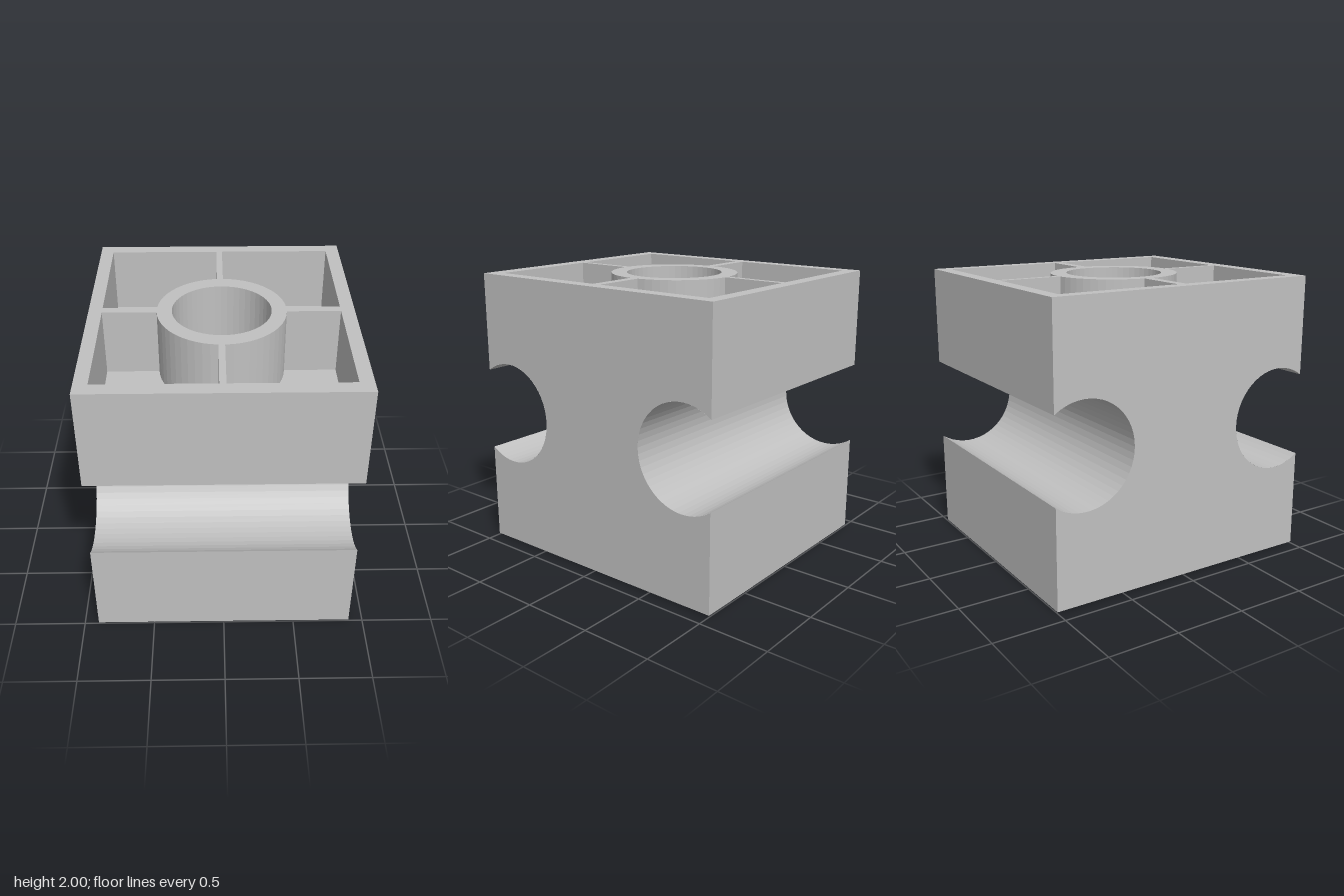
import * as THREE from 'three';

const W = 0.9, D = 1, BOTTOM = 0.01, TOP = 2;      // half width, half depth, heights
const POCKET = 0.47;                               // pocket depth
const BORE = 0.338;                                // central bore radius
const GROOVE = { y: 1.005, z: 0.785, r: 0.365 };
const ARC = 36;

export function createModel() {
  const group = new THREE.Group();
  const grey = new THREE.MeshStandardMaterial({ color: 0xc0c0c0, flatShading: true, side: THREE.DoubleSide });
  grey.name = 'grey';

  const add = (name, geometry) => {
    const mesh = new THREE.Mesh(geometry, grey);
    mesh.name = name;
    group.add(mesh);
    return mesh;
  };

  // Horizontal plate from [x, z] loops, facing up (dir 1) or down (dir -1)
  const plate = (name, loop, holes, y, dir) => {
    const toPoints = (l) => l.map(([x, z]) => new THREE.Vector2(x, -dir * z));
    const shape = new THREE.Shape(toPoints(loop));
    shape.holes = holes.map((h) => new THREE.Path(toPoints(h)));
    add(name, new THREE.ShapeGeometry(shape).rotateX(-dir * Math.PI / 2).translate(0, y, 0));
  };

  // Vertical wall around an [x, z] loop, facing the inside of the loop
  const wall = (name, loop, y0, y1) => {
    const pts = loop.map(([x, z]) => new THREE.Vector2(x, -z));
    if (THREE.ShapeUtils.isClockWise(pts)) pts.reverse();
    const pos = [];
    pts.forEach((a, i) => {
      const b = pts[(i + 1) % pts.length];
      pos.push(b.x, y0, -b.y, a.x, y0, -a.y, a.x, y1, -a.y);
      pos.push(b.x, y0, -b.y, a.x, y1, -a.y, b.x, y1, -b.y);
    });
    const g = new THREE.BufferGeometry();
    g.setAttribute('position', new THREE.Float32BufferAttribute(pos, 3));
    g.computeVertexNormals();
    add(name, g);
  };

  // Quarter pocket: rectangle with the tube's curve cut from its inner corner
  const pocketLoop = (xi, xo, zi, zo) => {
    const rx = 0.44, rz = 0.455, n = 12;
    const t0 = Math.asin(Math.abs(zi) / rz), t1 = Math.acos(Math.abs(xi) / rx);
    const loop = [[xo, zi], [xo, zo], [xi, zo]];
    for (let i = 0; i <= n; i++) {
      const t = t1 + (t0 - t1) * i / n;
      loop.push([Math.sign(xi) * rx * Math.cos(t), Math.sign(zi) * rz * Math.sin(t)]);
    }
    return loop;
  };
  const pockets = [];
  for (const [xi, xo] of [[-0.028, -0.808], [0.015, 0.805]]) {
    for (const [zi, zo] of [[-0.035, -0.905], [0.03, 0.897]]) pockets.push(pocketLoop(xi, xo, zi, zo));
  }

  const boreLoop = [];
  for (let i = 0; i < 48; i++) {
    const t = i / 48 * Math.PI * 2;
    boreLoop.push([BORE * Math.cos(t), BORE * Math.sin(t)]);
  }

  // Rims, pocket walls and pocket floors at both ends
  const outline = [[-W, -D], [W, -D], [W, D], [-W, D]];
  for (const [end, y, dir] of [['top', TOP, 1], ['bottom', BOTTOM, -1]]) {
    const floor = y - dir * POCKET;
    plate(end + 'Rim', outline, [boreLoop, ...pockets], y, dir);
    for (const p of pockets) {
      wall(end + 'PocketWall', p, Math.min(y, floor), Math.max(y, floor));
      plate(end + 'PocketFloor', p, [], floor, dir);
    }
  }
  wall('boreWall', boreLoop, 0, TOP);

  // Side faces with a round bite at front and back
  const half = Math.acos((D - GROOVE.z) / GROOVE.r);
  const lip = GROOVE.r * Math.sin(half);
  const profile = new THREE.Shape();
  profile.moveTo(-D, BOTTOM);
  profile.lineTo(D, BOTTOM);
  profile.lineTo(D, GROOVE.y - lip);
  profile.absarc(GROOVE.z, GROOVE.y, GROOVE.r, -half, half, true);
  profile.lineTo(D, TOP);
  profile.lineTo(-D, TOP);
  profile.lineTo(-D, GROOVE.y + lip);
  profile.absarc(-GROOVE.z, GROOVE.y, GROOVE.r, Math.PI - half, -Math.PI + half, true);
  for (const s of [1, -1]) {
    add(s > 0 ? 'leftSide' : 'rightSide',
      new THREE.ShapeGeometry(profile, ARC).rotateY(s * Math.PI / 2).translate(s * W, 0, 0));
  }

  // Front and back faces above and below the grooves, and the groove surfaces
  for (const s of [1, -1]) {
    const face = s > 0 ? 'front' : 'back';
    for (const [part, y0, y1] of [['Lower', BOTTOM, GROOVE.y - lip], ['Upper', GROOVE.y + lip, TOP]]) {
      const g = new THREE.PlaneGeometry(2 * W, y1 - y0);
      if (s < 0) g.rotateY(Math.PI);
      add(face + part + 'Face', g.translate(0, (y0 + y1) / 2, s * D));
    }
    const start = s > 0 ? half : Math.PI + half;
    const groove = new THREE.CylinderGeometry(GROOVE.r, GROOVE.r, 2 * W, ARC, 1, true, start, 2 * (Math.PI - half));
    add(face + 'Groove', groove.rotateZ(Math.PI / 2).translate(0, GROOVE.y, s * GROOVE.z));
  }

  return group;
}
